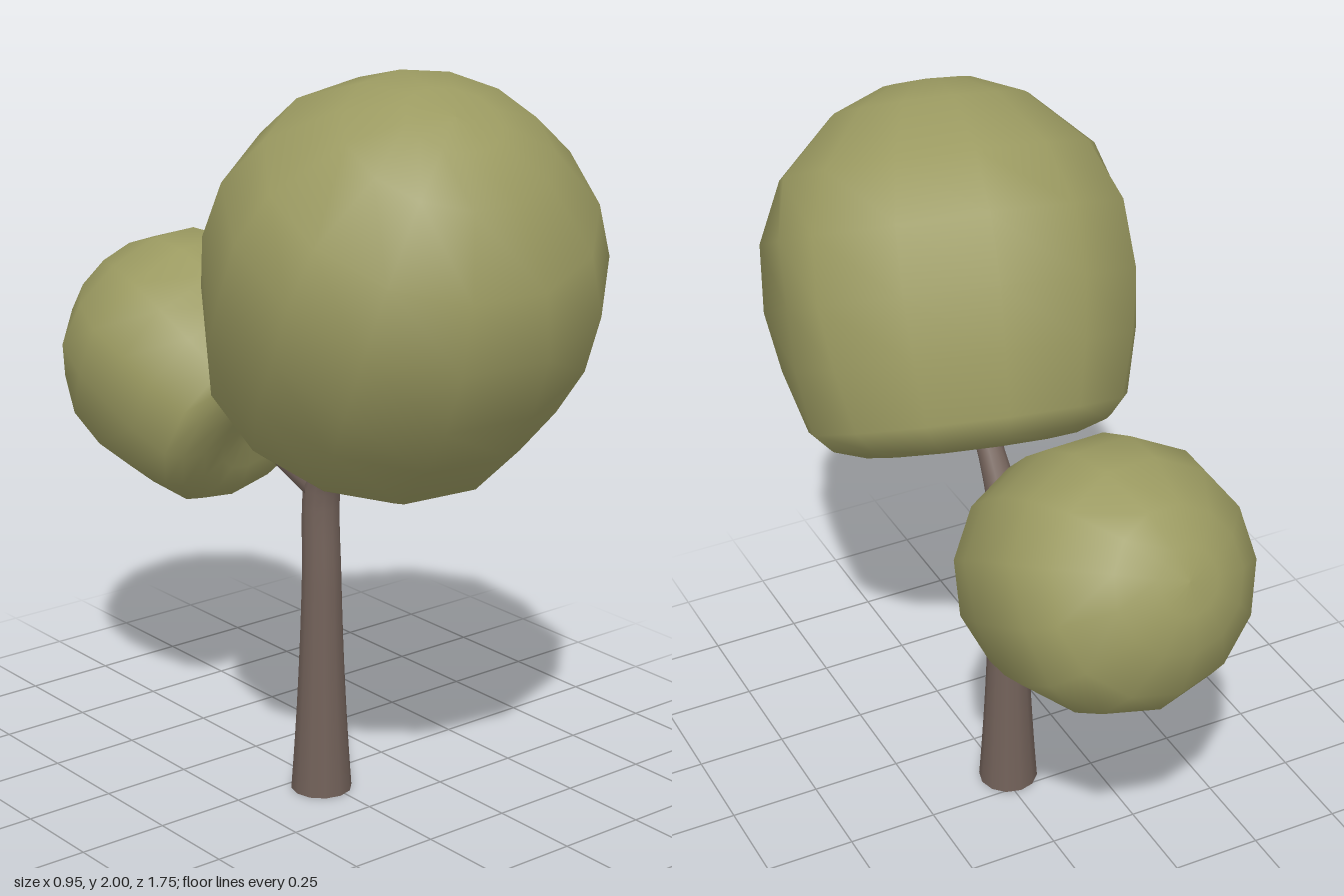
import * as THREE from 'three';

const bark = new THREE.MeshStandardMaterial({ color: 0x74635b });
const leaf = new THREE.MeshStandardMaterial({ color: 0x9b9a61 });

// Rounded crown with a softly dimpled underside, base at the origin, growing along +y
function crown(name, position, tilt, size, turn) {
  const profile = [
    [0, -0.015], [0.1, -0.022], [0.2, -0.043], [0.29, -0.046], [0.375, -0.018], [0.423, 0.032], [0.472, 0.2],
    [0.5, 0.36], [0.488, 0.54], [0.415, 0.7], [0.26, 0.848], [0.12, 0.905], [0, 0.915],
  ].map(([r, y]) => new THREE.Vector2(r, y));
  const geometry = new THREE.LatheGeometry(profile, 13, turn);
  // Slightly flattened flanks
  const p = geometry.attributes.position;
  for (let i = 0; i < p.count; i++) p.setX(i, THREE.MathUtils.clamp(p.getX(i) * 1.02, -0.458, 0.458));
  const mesh = new THREE.Mesh(geometry, leaf);
  mesh.name = name;
  mesh.position.set(...position);
  mesh.rotation.set(tilt, 0, 0.11);
  mesh.scale.setScalar(size);
  return mesh;
}

// Limb swept along a path, its radius given by a rule on the path position
function limb(name, points, radiusAt) {
  const path = new THREE.CatmullRomCurve3(points.map((q) => new THREE.Vector3(...q)));
  const rings = 24, sides = 12;
  const geometry = new THREE.TubeGeometry(path, rings, 1, sides);
  const p = geometry.attributes.position;
  const v = new THREE.Vector3();
  for (let i = 0; i < p.count; i++) {
    const t = Math.floor(i / (sides + 1)) / rings;
    const centre = path.getPointAt(t);
    v.fromBufferAttribute(p, i).sub(centre).multiplyScalar(radiusAt(t, centre)).add(centre);
    p.setXYZ(i, v.x, v.y, v.z);
  }
  const mesh = new THREE.Mesh(geometry, bark);
  mesh.name = name;
  return mesh;
}

export function createModel() {
  const tree = new THREE.Group();
  tree.name = 'tree';

  // Flared trunk bending forward into the front branch
  const x = -0.018, z = 0.067;
  tree.add(limb('trunk',
    [[x, 0.005, z], [x, 0.3, z], [x, 0.6, z], [x, 0.86, z], [x, 0.94, z + 0.028], [x, 1.16, 0.247]],
    (t, c) => (c.y < 0.88
      ? 0.05 + 0.033 * (1 - c.y / 0.88) ** 2
      : 0.05 - 0.014 * Math.min((c.y - 0.88) / 0.17, 1))));

  // Closed underside of the trunk
  const foot = new THREE.Mesh(new THREE.CircleGeometry(0.083, 12), bark);
  foot.name = 'trunkFoot';
  foot.rotation.x = Math.PI / 2;
  foot.position.set(x, 0.005, z);
  tree.add(foot);

  // Rear branch growing out of the trunk
  tree.add(limb('backBranch', [[x, 0.877, z], [-0.012, 0.935, -0.14], [-0.01, 0.984, -0.32]],
    (t) => 0.056 - 0.021 * t));

  tree.add(crown('largeCrown', [0.04, 1.14, 0.175], 0.512, 1, 0.1));
  tree.add(crown('smallCrown', [0.022, 0.953, -0.268], -1.082, 0.7, 0.25));
  return tree;
}
